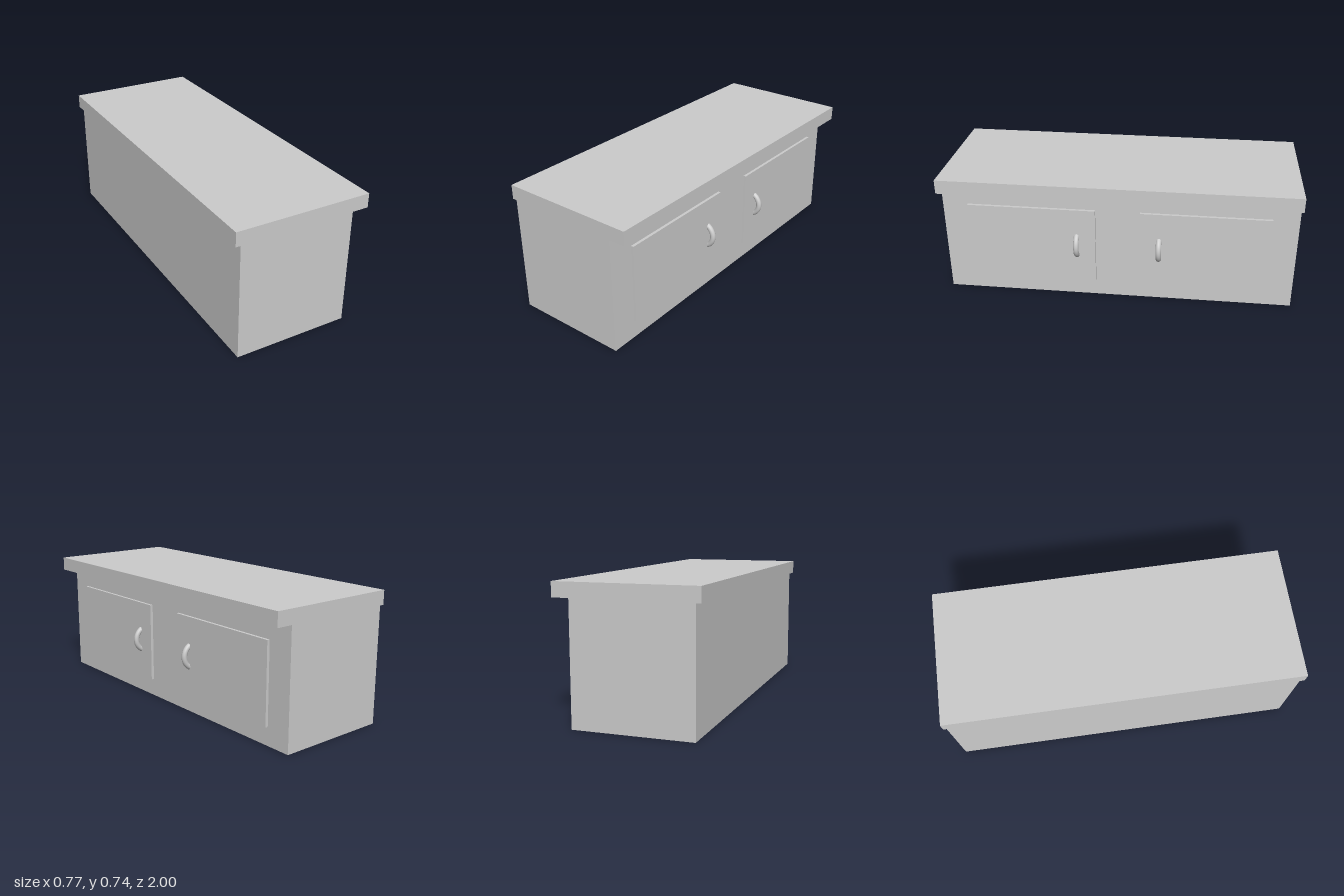
import * as THREE from 'three';

export function createModel() {
  const group = new THREE.Group();
  group.name = 'cabinet';
  const material = new THREE.MeshStandardMaterial({ color: 0xcccccc });

  const add = (name, geometry) => {
    const mesh = new THREE.Mesh(geometry, material);
    mesh.name = name;
    group.add(mesh);
    return mesh;
  };

  // Box given by its limits on each axis
  const box = (name, [x0, x1], [y0, y1], [z0, z1]) =>
    add(name, new THREE.BoxGeometry(x1 - x0, y1 - y0, z1 - z0))
      .position.set((x0 + x1) / 2, (y0 + y1) / 2, (z0 + z1) / 2);

  // Carcass and overhanging worktop
  box('body', [-0.361, 0.292], [0, 0.657], [-1, 1]);
  box('worktop', [-0.388, 0.386], [0.657, 0.737], [-1, 1]);

  // Two doors, each with a curved pull near the middle
  const arc = THREE.MathUtils.degToRad(140);
  for (const [side, s] of [['left', -1], ['right', 1]]) {
    const z = [s * 0.126, s * 0.855].sort((a, b) => a - b);
    box(`${side}Door`, [0.285, 0.308], [0.102, 0.556], z);

    const handle = add(`${side}Handle`, new THREE.TorusGeometry(0.07, 0.0155, 16, 32, arc));
    handle.rotation.z = -arc / 2;
    handle.position.set(0.268, 0.329, s * 0.234);
  }

  return group;
}
